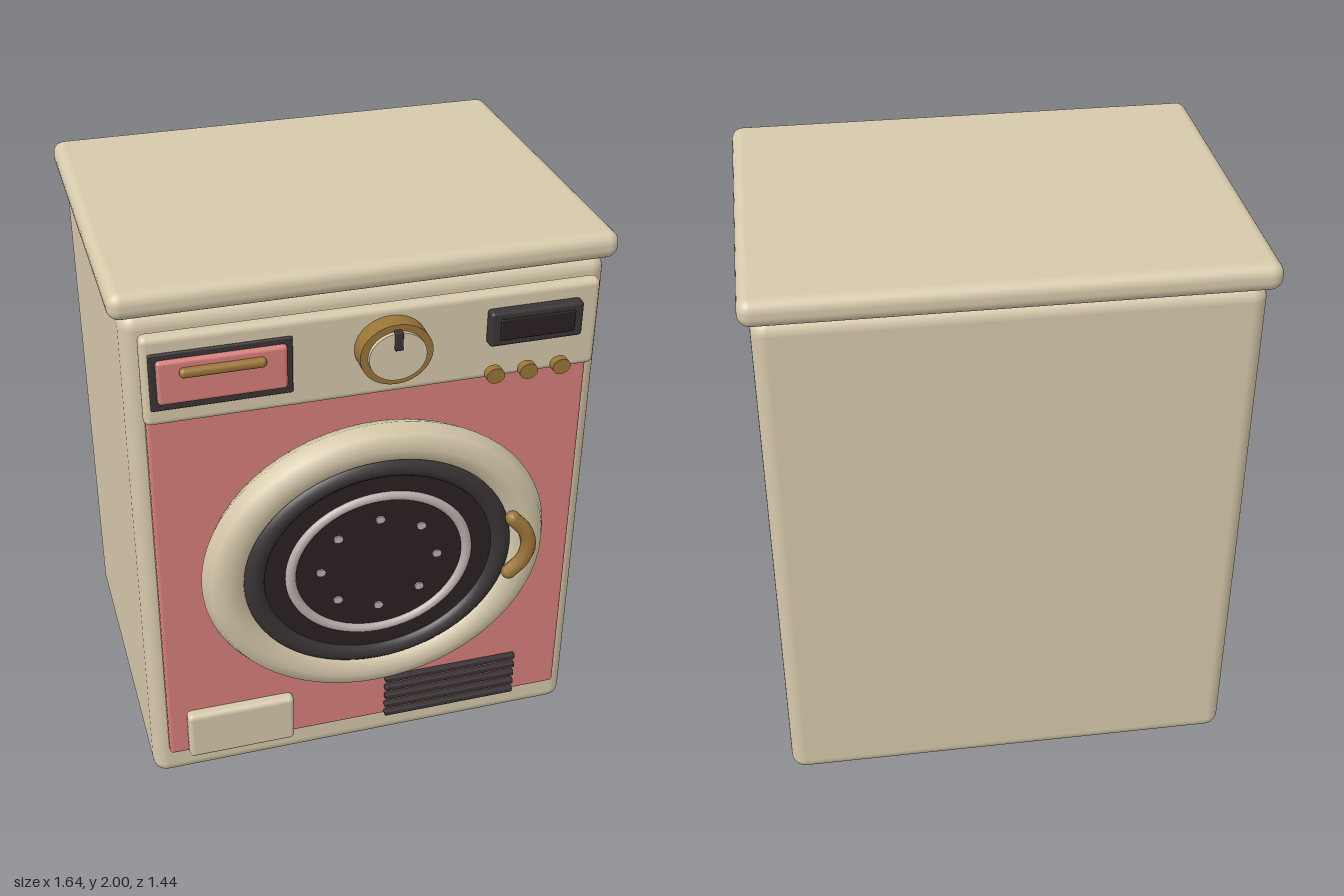
import * as THREE from 'three';
import { RoundedBoxGeometry } from 'three/addons/geometries/RoundedBoxGeometry.js';

const paint = (name, color) => {
  const m = new THREE.MeshStandardMaterial({ color });
  m.name = name;
  return m;
};

export function createModel() {
  const cream = paint('cream', 0xd6c9ab);
  const pink = paint('pink', 0xd67f79);
  const brass = paint('brass', 0x9a7437);
  const charcoal = paint('charcoal', 0x393435);
  const glass = paint('dark glass', 0x2b2021);
  const silver = paint('silver', 0xb9b0ad);

  const model = new THREE.Group();
  model.name = 'washingMachine';
  const STRETCH = 1.136; // round parts are wider than tall

  const add = (name, geometry, material, parent = model) => {
    const mesh = new THREE.Mesh(geometry, material);
    mesh.name = name;
    parent.add(mesh);
    return mesh;
  };
  // rounded box given by its limits on each axis
  const box = (name, material, [x0, x1], [y0, y1], [z0, z1], radius) => {
    const g = new RoundedBoxGeometry(x1 - x0, y1 - y0, z1 - z0, 4, radius);
    g.translate((x0 + x1) / 2, (y0 + y1) / 2, (z0 + z1) / 2);
    return add(name, g, material);
  };
  // disc facing forward
  const disc = (name, material, x, y, z0, z1, r, parent = model, stretch = STRETCH) => {
    const g = new THREE.CylinderGeometry(r, r, z1 - z0, 40);
    g.rotateX(Math.PI / 2).scale(stretch, 1, 1).translate(x, y, (z0 + z1) / 2);
    return add(name, g, material, parent);
  };

  // cabinet
  box('body', cream, [-0.785, 0.785], [0.042, 1.915], [-0.693, 0.526], 0.05);
  box('lid', cream, [-0.818, 0.818], [1.908, 2], [-0.72, 0.548], 0.04);
  box('frontPanel', pink, [-0.73, 0.73], [0.165, 1.74], [0.5, 0.555], 0.012);
  box('controlPanel', cream, [-0.74, 0.74], [1.565, 1.873], [0.54, 0.592], 0.022);

  // feet
  for (const x of [-0.561, 0.561]) {
    for (const z of [0.338, -0.5]) {
      const g = new THREE.CylinderGeometry(0.072, 0.072, 0.06, 28);
      g.scale(1.21, 1, 1).translate(x, 0.03, z);
      add('foot', g, brass);
    }
  }

  // detergent drawer
  box('drawerFrame', charcoal, [-0.718, -0.272], [1.623, 1.82], [0.57, 0.6], 0.006);
  box('drawer', pink, [-0.697, -0.292], [1.65, 1.8], [0.58, 0.617], 0.012);
  box('drawerHandle', brass, [-0.63, -0.36], [1.745, 1.777], [0.608, 0.64], 0.015);

  // dial
  disc('dial', brass, 0.042, 1.74, 0.585, 0.656, 0.104);
  disc('dialFace', cream, 0.042, 1.74, 0.64, 0.67, 0.082);
  box('dialPointer', charcoal, [0.029, 0.055], [1.765, 1.828], [0.655, 0.68], 0.004);

  // display and buttons
  box('displayFrame', charcoal, [0.358, 0.67], [1.7, 1.82], [0.585, 0.63], 0.012);
  box('displayScreen', glass, [0.39, 0.64], [1.724, 1.797], [0.615, 0.636], 0.004);
  for (const x of [0.38, 0.492, 0.604]) {
    disc('button', brass, x, 1.602, 0.614, 0.642, 0.027);
  }

  // porthole door
  const door = new THREE.Group();
  door.name = 'door';
  door.position.set(0, 0.95, 0);
  door.scale.x = STRETCH;
  model.add(door);
  const ring = (name, material, R, r, z, sides) =>
    add(name, new THREE.TorusGeometry(R, r, sides, 64).translate(0, 0, z), material, door);
  ring('doorRing', cream, 0.459, 0.067, 0.62, 8);
  ring('gasket', charcoal, 0.378, 0.032, 0.65, 12);
  disc('doorGlass', glass, 0, 0, 0.55, 0.658, 0.38, door, 1);
  ring('glassTrim', silver, 0.27, 0.016, 0.66, 12);
  for (let i = 0; i < 8; i++) {
    const a = (i * Math.PI) / 4;
    disc('drumHole', silver, 0.178 * Math.cos(a), 0.178 * Math.sin(a), 0.655, 0.664, 0.014, door, 1);
  }

  // curved door handle with closed ends
  const ends = [new THREE.Vector3(0.458, 1.062, 0.684), new THREE.Vector3(0.458, 0.838, 0.684)];
  const path = new THREE.CatmullRomCurve3([
    ends[0],
    new THREE.Vector3(0.502, 1.01, 0.692),
    new THREE.Vector3(0.517, 0.95, 0.696),
    new THREE.Vector3(0.502, 0.89, 0.692),
    ends[1],
  ]);
  add('doorHandle', new THREE.TubeGeometry(path, 20, 0.026, 10), brass);
  for (const p of ends) {
    add('doorHandleEnd', new THREE.SphereGeometry(0.026, 12, 8).translate(p.x, p.y, p.z), brass);
  }

  // filter hatch and vent slots
  box('filterHatch', cream, [-0.665, -0.282], [0.165, 0.357], [0.545, 0.594], 0.018);
  for (let i = 0; i < 5; i++) {
    const y = 0.178 + i * 0.04;
    box('ventSlot', charcoal, [0.063, 0.56], [y - 0.01, y + 0.01], [0.55, 0.575], 0.004);
  }

  return model;
}
